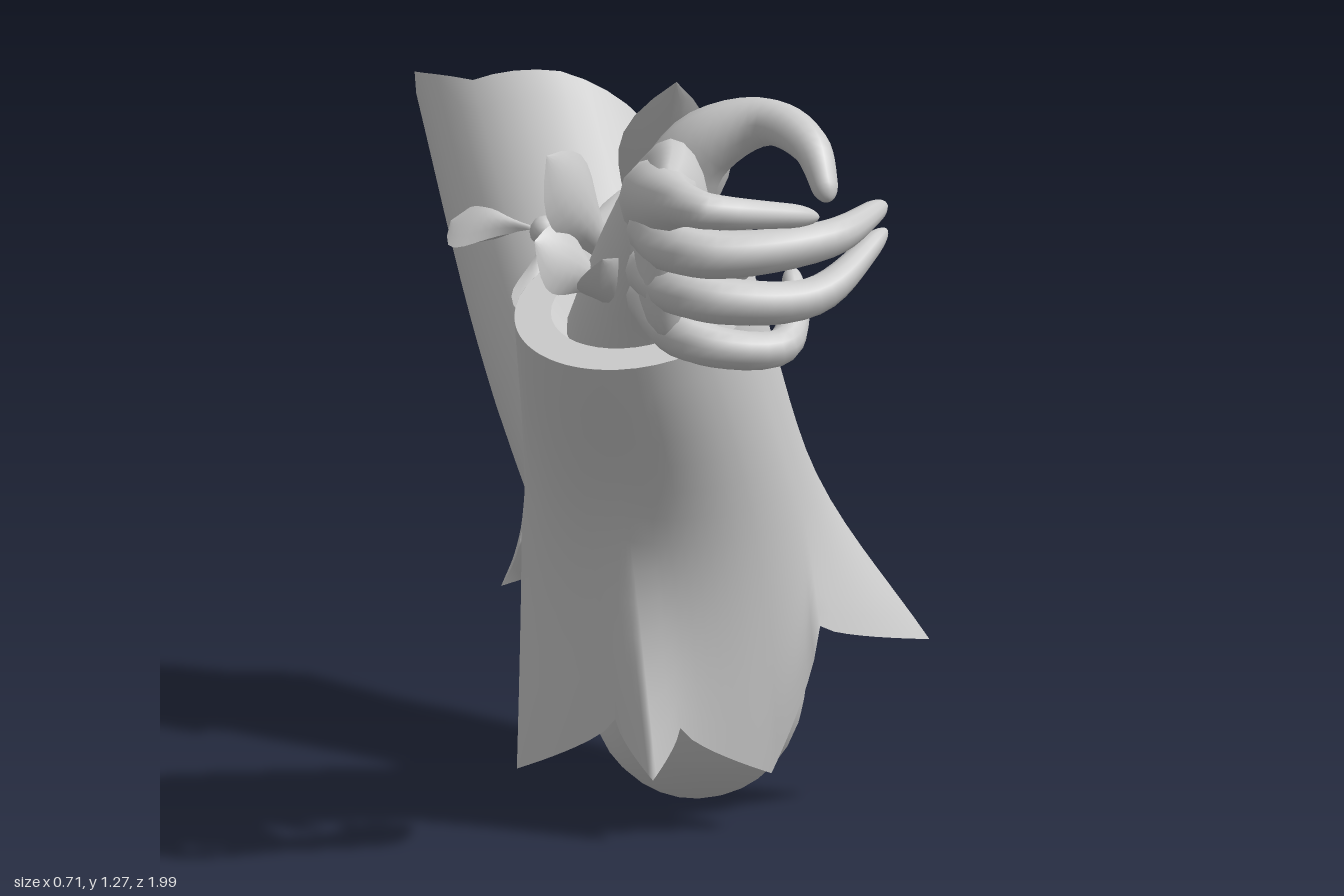
import * as THREE from 'three';

const V = (a) => new THREE.Vector3(a[0], a[1], a[2]);
const cloth = new THREE.MeshStandardMaterial({ color: 0xcccccc, side: THREE.DoubleSide });
cloth.name = 'light grey';

// Skin a list of closed rings of equal length
function loft(rings) {
  const n = rings[0].length, pos = [], idx = [];
  rings.forEach((r) => r.forEach((p) => pos.push(p.x, p.y, p.z)));
  for (let i = 0; i < rings.length - 1; i++) {
    for (let j = 0; j < n; j++) {
      const a = i * n + j, b = i * n + (j + 1) % n;
      idx.push(a, b, a + n, b, b + n, a + n);
    }
  }
  const g = new THREE.BufferGeometry();
  g.setAttribute('position', new THREE.Float32BufferAttribute(pos, 3));
  g.setIndex(idx);
  g.computeVertexNormals();
  return g;
}

function ring(c, u, v, ru, rv, n) {
  return Array.from({ length: n }, (_, i) => {
    const a = (i / n) * Math.PI * 2;
    return c.clone().addScaledVector(u, ru * Math.cos(a)).addScaledVector(v, rv * Math.sin(a));
  });
}

// Rings along a smooth path; each station is [x, y, z, radius along hint, other radius]
function sweep(stations, hint, n, steps, round) {
  const path = new THREE.CatmullRomCurve3(stations.map(V));
  const size = new THREE.CatmullRomCurve3(
    stations.map((s) => new THREE.Vector3(s[3], s[4] ?? s[3], 0)), false, 'catmullrom', 0.5);
  const rings = [];
  for (let i = 0; i <= steps; i++) {
    const t = round ? Math.sin((i / steps) * Math.PI / 2) : i / steps;
    const d = path.getTangent(t);
    const u = hint.clone().addScaledVector(d, -hint.dot(d)).normalize();
    const v = d.clone().cross(u);
    const r = size.getPoint(t);
    const e = Math.max(0, (t - 0.94) / 0.06);
    const k = round ? Math.sqrt(Math.max(0, 1 - e * e)) : 1;
    rings.push(ring(path.getPoint(t), u, v, r.x * k, r.y * k, n));
  }
  return rings;
}

// Thin cupped leaf from base to tip; power sets where it is widest
function leaf(base, tip, side, width, cup, power) {
  const b = V(base), d = V(tip).sub(b), s = V(side);
  s.addScaledVector(d, -s.dot(d) / d.lengthSq()).normalize();
  const nrm = d.clone().cross(s).normalize();
  const g = new THREE.PlaneGeometry(2, 1, 6, 12), p = g.attributes.position;
  for (let i = 0; i < p.count; i++) {
    const x = p.getX(i), t = p.getY(i) + 0.5;
    const w = width * (Math.sin(Math.PI * Math.pow(t, power)) + 0.12 * (1 - t));
    const q = b.clone().addScaledVector(d, t).addScaledVector(s, x * w)
      .addScaledVector(nrm, cup * Math.sin(Math.PI * t) * (1 - x * x));
    p.setXYZ(i, q.x, q.y, q.z);
  }
  g.computeVertexNormals();
  return g;
}

export function createModel() {
  const model = new THREE.Group();
  const add = (name, geo, parent = model) => {
    const m = new THREE.Mesh(geo, cloth);
    m.name = name;
    parent.add(m);
    return m;
  };
  const group = (name) => {
    const g = new THREE.Group();
    g.name = name;
    model.add(g);
    return g;
  };
  const X = new THREE.Vector3(1, 0, 0), Y = new THREE.Vector3(0, 1, 0);

  // Upper arm, elbow and covered forearm
  const arm = sweep([
    [-0.1, 0.93, -0.83, 0.185, 0.19], [-0.075, 0.7, -0.56, 0.19, 0.2],
    [-0.05, 0.56, -0.43, 0.185, 0.195], [-0.025, 0.42, -0.3, 0.175, 0.18],
    [-0.005, 0.27, -0.13, 0.17, 0.165], [0, 0.17, 0, 0.165, 0.165],
    [0, 0.215, 0.1, 0.165, 0.165], [-0.02, 0.34, 0.16, 0.165, 0.16],
    [-0.06, 0.5, 0.22, 0.16, 0.15], [-0.14, 0.8, 0.32, 0.13, 0.13],
  ], X, 32, 54, false);
  // Ragged shoulder opening: how far the edge runs out, every 45 degrees
  const out = V([-0.09, 0.68, -0.72]).normalize();
  const edge = [-0.14, -0.07, 0, 0.04, 0.17, 0.11, -0.11, -0.15, -0.14];
  for (let i = 0; i < 9; i++) {
    arm[i].forEach((p, j) => {
      const k = Math.floor(j / 4);
      p.addScaledVector(out, (1 - i / 9) * THREE.MathUtils.lerp(edge[k], edge[k + 1], (j % 4) / 4));
    });
  }
  add('upperArmSleeve', loft(arm));

  // Flared forearm sleeve: rim, waist and a hem of pointed flaps (even rows notch, odd rows tip)
  const hem = [ // angle, x, y, z
    [-0.25, -0.09, 0.19, 0.4], [0.45, 0.07, 0.1, 0.34], [0.95, 0.15, 0.34, 0.34],
    [1.6, 0.36, 0.28, 0.16], [2.15, 0.19, 0.42, 0.01], [2.63, 0.15, 0.36, -0.15],
    [3.1, 0, 0.47, -0.09], [3.81, -0.29, 0.33, -0.16], [4.45, -0.3, 0.47, 0.1],
    [4.95, -0.33, 0.1, 0.23], [5.5, -0.19, 0.2, 0.36], [5.82, -0.14, 0.11, 0.43],
    [6.033, -0.09, 0.19, 0.4],
  ];
  const rimC = V([-0.155, 0.885, 0.35]);
  const rimU = V([0.98, 0.18, 0]).normalize(), rimV = V([0, -0.34, 0.94]).normalize();
  const around = (c, u, v, ru, rv, a) =>
    c.clone().addScaledVector(u, ru * Math.sin(a)).addScaledVector(v, rv * Math.cos(a));
  const waistC = V([-0.07, 0.56, 0.2]), waistV = V([0, -0.3, 0.95]).normalize();
  const columns = [];
  for (let i = 0; i < hem.length - 1; i++) {
    for (let k = 0; k < 8; k++) {
      const f = k / 8, a = THREE.MathUtils.lerp(hem[i][0], hem[i + 1][0], f);
      const end = V(hem[i].slice(1)).lerp(V(hem[i + 1].slice(1)), f);
      const bulge = i % 2 ? 1 - Math.pow(1 - f, 0.7) : Math.pow(f, 0.7);
      end.y = THREE.MathUtils.lerp(hem[i][2], hem[i + 1][2], bulge);
      const curve = new THREE.CatmullRomCurve3([
        around(rimC, rimU, rimV, 0.2, 0.205, a),
        around(waistC, X, waistV, 0.24, 0.225, a), end]);
      columns.push(curve.getPoints(14));
    }
  }
  add('flaredSleeve', loft(columns[0].map((_, r) => columns.map((c) => c[r]))));

  // Flat band that closes the sleeve top down to the wrist opening
  const down = rimU.clone().cross(rimV).multiplyScalar(0.05);
  const inner = ring(rimC, rimU, rimV, 0.14, 0.14, 40);
  add('sleeveRim', loft([ring(rimC, rimU, rimV, 0.2, 0.205, 40), inner]));
  add('sleeveLining', loft([inner, ring(rimC.clone().add(down), rimU, rimV, 0.11, 0.11, 40)]));

  // Hand: wrist and palm, then curled fingers
  const hand = group('hand');
  add('palm', loft(sweep([
    [-0.155, 0.83, 0.33, 0.11, 0.11], [-0.15, 0.95, 0.42, 0.09, 0.1],
    [-0.14, 1.05, 0.53, 0.07, 0.11], [-0.145, 1.06, 0.63, 0.065, 0.145],
    [-0.17, 1.04, 0.74, 0.05, 0.15], [-0.18, 1.03, 0.81, 0.03, 0.12],
  ], X, 20, 28, true)), hand);
  const fingers = {
    thumb: [[-0.14, 1.08, 0.53, 0.07], [-0.08, 1.18, 0.57, 0.058], [0.01, 1.225, 0.62, 0.04],
      [0.07, 1.2, 0.71, 0.032], [0.09, 1.12, 0.78, 0.019]],
    indexFinger: [[-0.165, 1.11, 0.66, 0.07], [-0.18, 1.13, 0.79, 0.052], [-0.175, 1.15, 0.94, 0.036],
      [-0.14, 1.145, 0.975, 0.03], [0.05, 1.12, 0.92, 0.017]],
    middleFinger: [[-0.18, 1.07, 0.7, 0.05], [-0.17, 1.06, 0.81, 0.045], [-0.1, 1.05, 0.85, 0.04],
      [0.08, 1.065, 0.82, 0.032], [0.195, 1.1, 0.71, 0.016]],
    ringFinger: [[-0.18, 1, 0.68, 0.05], [-0.16, 0.985, 0.79, 0.043], [-0.09, 0.97, 0.83, 0.039],
      [0.06, 0.97, 0.81, 0.032], [0.195, 1.06, 0.72, 0.016]],
    littleFinger: [[-0.17, 0.95, 0.63, 0.05], [-0.15, 0.905, 0.75, 0.04], [-0.09, 0.885, 0.785, 0.034],
      [0.01, 0.88, 0.77, 0.03], [0.045, 0.92, 0.71, 0.025], [0.05, 0.99, 0.65, 0.015]],
  };
  for (const name in fingers) add(name, loft(sweep(fingers[name], Y, 12, 28, true)), hand);

  // Wrist frill of overlapping leaves
  const frill = group('wristFrill');
  [ // base, tip, side, width
    [[-0.14, 0.9, 0.25], [-0.12, 1.28, 0.54], [1, 0, 0], 0.07],
    [[-0.08, 0.92, 0.29], [-0.05, 1.17, 0.5], [1, 0, -0.6], 0.05],
    [[-0.18, 0.92, 0.3], [-0.32, 1.15, 0.46], [0.6, 0.6, -0.6], 0.065],
    [[-0.2, 0.9, 0.36], [-0.34, 1.01, 0.46], [0.3, 0.8, -0.5], 0.06],
    [[-0.2, 0.88, 0.4], [-0.24, 0.99, 0.53], [1, 0.4, 0], 0.05],
    [[-0.08, 0.88, 0.38], [0.02, 1.02, 0.48], [0.5, -0.5, 0.6], 0.045],
  ].forEach(([b, t, s, w]) => add('frillLeaf', leaf(b, t, s, w, -0.025, 1.9), frill));

  // Bow on the upper arm: two padded loops, two tails and a knot
  const bow = group('bow');
  const c = [-0.165, 0.855, -0.47];
  for (const puff of [0.018, -0.018]) {
    add('bowLoop', leaf(c, [0.01, 0.87, -0.43], [0, 0.68, -0.72], 0.075, puff, 2.6), bow);
    add('bowLoop', leaf(c, [-0.295, 0.85, -0.62], [0.6, 0.5, -0.5], 0.06, puff, 2.6), bow);
  }
  add('bowTail', leaf(c, [-0.215, 0.73, -0.33], [1, 0, 0], 0.035, 0.01, 2.2), bow);
  add('bowTail', leaf(c, [-0.135, 0.755, -0.32], [1, 0, 0], 0.035, 0.01, 2.2), bow);
  const knot = add('bowKnot', new THREE.SphereGeometry(0.026, 12, 8), bow);
  knot.position.set(...c);

  return model;
}
